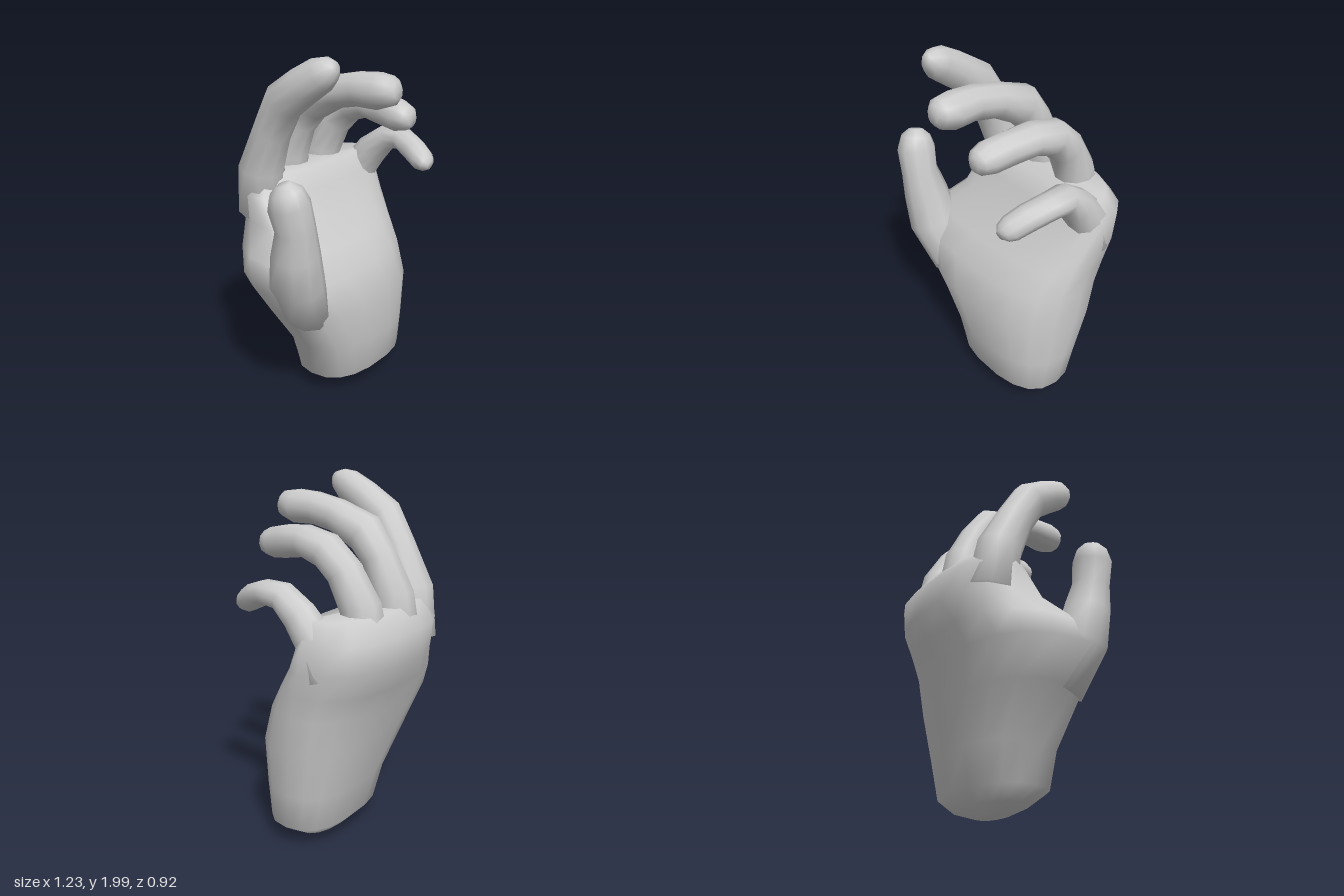
import * as THREE from 'three';

const material = new THREE.MeshStandardMaterial({ color: 0xcccccc });

// Skin a list of rings (arrays of Vector3, counter-clockwise about the path) and close both ends.
function loft(name, rings) {
  const n = rings[0].length, pos = [], idx = [];
  const centre = ring => ring.reduce((s, p) => s.add(p), new THREE.Vector3()).divideScalar(n);
  rings.forEach(ring => ring.forEach(p => pos.push(p.x, p.y, p.z)));
  for (let i = 0; i < rings.length - 1; i++) {
    for (let j = 0; j < n; j++) {
      const a = i * n + j, b = i * n + (j + 1) % n;
      idx.push(a, b, b + n, a, b + n, a + n);
    }
  }
  const last = (rings.length - 1) * n, start = rings.length * n;
  pos.push(...centre(rings[0]).toArray(), ...centre(rings[rings.length - 1]).toArray());
  for (let j = 0; j < n; j++) {
    const k = (j + 1) % n;
    idx.push(start, k, j, start + 1, last + j, last + k);
  }
  const g = new THREE.BufferGeometry();
  g.setAttribute('position', new THREE.Float32BufferAttribute(pos, 3));
  g.setIndex(idx);
  g.computeVertexNormals();
  const mesh = new THREE.Mesh(g, material);
  mesh.name = name;
  return mesh;
}

// Finger along joints [x, y, z, half width, half thickness], with a rounded tip.
function finger(name, joints, sides = 10) {
  const pts = joints.map(j => new THREE.Vector3(j[0], j[1], j[2]));
  const rings = pts.map((p, i) => {
    const t = pts[Math.min(i + 1, pts.length - 1)].clone().sub(pts[Math.max(i - 1, 0)]).normalize();
    const side = new THREE.Vector3(1, 0, 0).addScaledVector(t, -t.x).normalize();
    const up = t.clone().cross(side);
    return Array.from({ length: sides }, (_, j) => {
      const a = j / sides * Math.PI * 2;
      return p.clone().addScaledVector(side, Math.cos(a) * joints[i][3])
        .addScaledVector(up, Math.sin(a) * joints[i][4]);
    });
  });
  return loft(name, rings);
}

// Palm slice: x range, z of the two side edges, z of the front and the back.
function palmRing([y, xl, xr, zl, zr, zf, zb], sides = 18) {
  const soft = v => Math.sign(v) * Math.pow(Math.abs(v), 0.8);
  return Array.from({ length: sides }, (_, j) => {
    const a = j / sides * Math.PI * 2;
    const u = soft(Math.cos(a)), v = -soft(Math.sin(a));
    const edge = zl + (zr - zl) * (u + 1) / 2;
    const z = edge + (v > 0 ? v * (zf - edge) : -v * (zb - edge));
    return new THREE.Vector3((xl + xr) / 2 + u * (xr - xl) / 2, y, z);
  });
}

export function createModel() {
  const hand = new THREE.Group();
  hand.name = 'hand';

  // Wrist, palm and knuckles
  hand.add(loft('palm', [
    [0.00, 0.02, 0.26, 0.03, 0.03, 0.10, -0.03],
    [0.05, -0.07, 0.44, 0.05, 0.05, 0.21, -0.09],
    [0.12, -0.18, 0.54, 0.06, 0.06, 0.29, -0.16],
    [0.33, -0.23, 0.56, 0.08, 0.03, 0.31, -0.21],
    [0.60, -0.42, 0.59, 0.14, -0.01, 0.33, -0.29],
    [0.80, -0.55, 0.59, 0.17, -0.04, 0.27, -0.35],
    [0.93, -0.50, 0.60, 0.10, -0.06, 0.17, -0.40],
    [1.07, -0.38, 0.61, -0.05, -0.10, 0.06, -0.45],
    [1.22, -0.37, 0.61, -0.20, -0.13, -0.03, -0.455],
    [1.33, -0.31, 0.55, -0.21, -0.12, -0.09, -0.37],
  ].map(r => palmRing(r))));

  // Thumb
  hand.add(finger('thumb', [
    [-0.30, 0.62, 0.12, 0.12, 0.16],
    [-0.43, 0.86, 0.19, 0.145, 0.15],
    [-0.46, 1.04, 0.21, 0.13, 0.13],
    [-0.48, 1.19, 0.23, 0.105, 0.105],
    [-0.51, 1.32, 0.22, 0.11, 0.11],
    [-0.52, 1.39, 0.21, 0.085, 0.085],
    [-0.53, 1.425, 0.20, 0.04, 0.04],
  ]));

  // Four fingers, curling forward
  hand.add(finger('indexFinger', [
    [-0.22, 1.10, -0.25, 0.14, 0.15],
    [-0.25, 1.36, -0.23, 0.125, 0.13],
    [-0.26, 1.58, -0.13, 0.10, 0.11],
    [-0.27, 1.75, -0.03, 0.105, 0.11],
    [-0.27, 1.84, 0.10, 0.095, 0.10],
    [-0.26, 1.91, 0.21, 0.085, 0.09],
    [-0.25, 1.94, 0.26, 0.065, 0.065],
    [-0.25, 1.955, 0.29, 0.03, 0.03],
  ]));
  hand.add(finger('middleFinger', [
    [0.01, 1.10, -0.30, 0.13, 0.14],
    [0.01, 1.38, -0.27, 0.115, 0.12],
    [0.02, 1.57, -0.19, 0.095, 0.10],
    [0.02, 1.69, -0.10, 0.105, 0.11],
    [0.02, 1.77, 0.08, 0.10, 0.09],
    [0.02, 1.80, 0.22, 0.09, 0.09],
    [0.025, 1.805, 0.35, 0.10, 0.095],
    [0.025, 1.815, 0.43, 0.08, 0.075],
    [0.025, 1.82, 0.46, 0.04, 0.045],
  ]));
  hand.add(finger('ringFinger', [
    [0.27, 1.10, -0.29, 0.13, 0.13],
    [0.28, 1.36, -0.25, 0.105, 0.115],
    [0.29, 1.53, -0.16, 0.095, 0.10],
    [0.30, 1.63, -0.06, 0.10, 0.095],
    [0.29, 1.665, 0.08, 0.10, 0.085],
    [0.27, 1.65, 0.22, 0.085, 0.09],
    [0.25, 1.635, 0.32, 0.09, 0.085],
    [0.25, 1.63, 0.38, 0.07, 0.065],
    [0.25, 1.63, 0.405, 0.035, 0.04],
  ]));
  hand.add(finger('littleFinger', [
    [0.48, 1.04, -0.18, 0.12, 0.11],
    [0.50, 1.21, -0.14, 0.105, 0.11],
    [0.50, 1.33, -0.04, 0.09, 0.095],
    [0.51, 1.42, 0.06, 0.085, 0.075],
    [0.52, 1.43, 0.16, 0.08, 0.065],
    [0.48, 1.39, 0.27, 0.075, 0.07],
    [0.45, 1.35, 0.35, 0.07, 0.065],
    [0.44, 1.335, 0.39, 0.055, 0.045],
    [0.44, 1.33, 0.41, 0.025, 0.025],
  ]));
  return hand;
}
